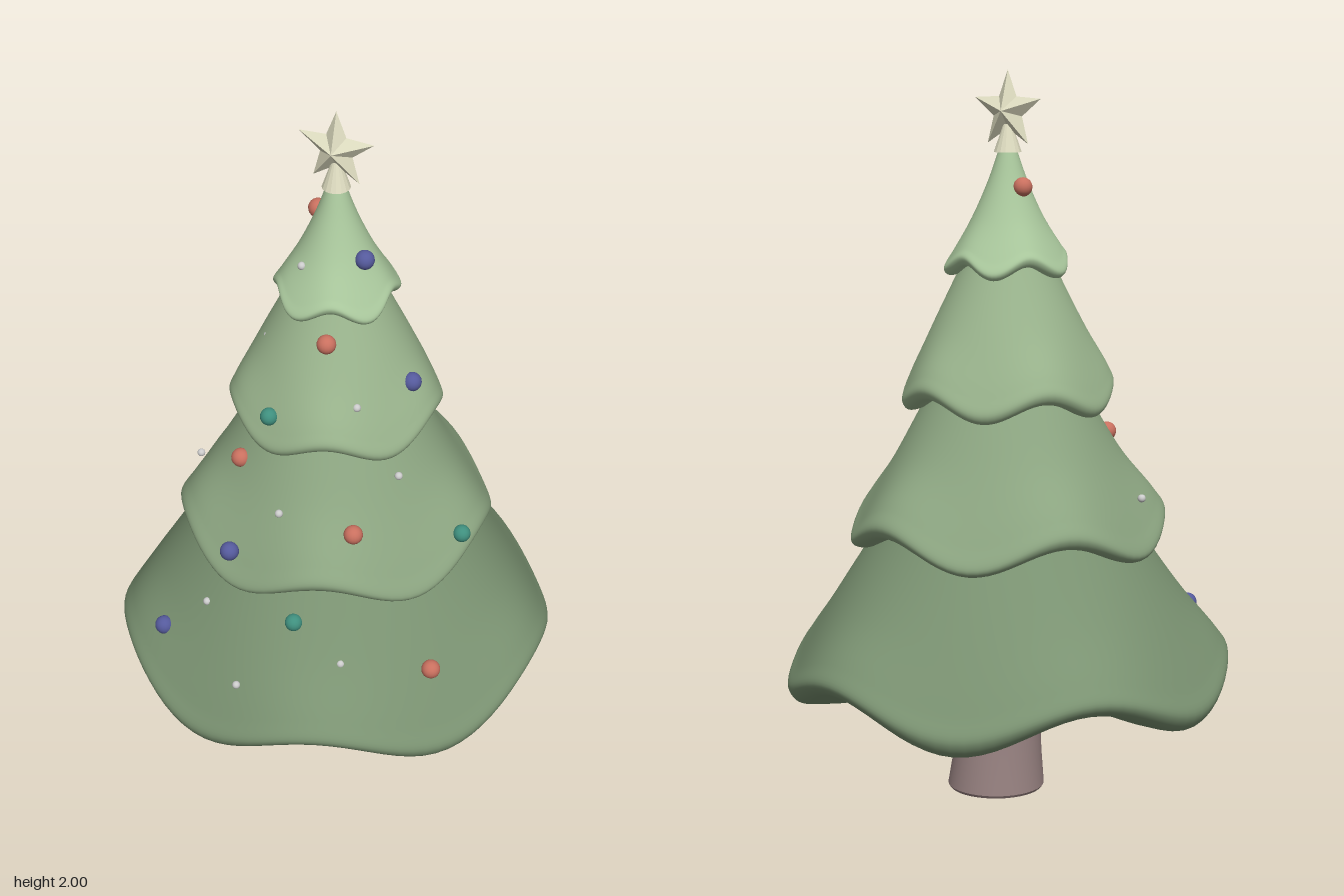
import * as THREE from 'three';

const material = (color, flat = false) => new THREE.MeshStandardMaterial({ color, flatShading: flat });

function addMesh(parent, name, geometry, mat) {
  const mesh = new THREE.Mesh(geometry, mat);
  mesh.name = name;
  parent.add(mesh);
  return mesh;
}

// Skirt of branches: profile points are [radius, height, wave height], top to underside;
// the hem rises and falls in five waves. "pinch" narrows the radius at the crests.
function skirtGeometry(profile, pinch) {
  const rings = 48, sides = 100;
  const curve = new THREE.CatmullRomCurve3(profile.map(p => new THREE.Vector3(...p)), false, 'centripetal');
  const positions = [], index = [];
  for (let k = 0; k <= rings; k++) {
    const p = curve.getPoint(k / rings);
    for (let j = 0; j < sides; j++) {
      const a = (j / sides) * Math.PI * 2;
      const wave = Math.cos(5 * a);
      const r = p.x - pinch * p.z * wave;
      positions.push(r * Math.cos(a), p.y + p.z * wave, r * Math.sin(a));
      if (k < rings) {
        const a0 = k * sides + j, b0 = k * sides + (j + 1) % sides;
        index.push(a0, b0, a0 + sides, b0, b0 + sides, a0 + sides);
      }
    }
  }
  const g = new THREE.BufferGeometry();
  g.setAttribute('position', new THREE.Float32BufferAttribute(positions, 3));
  g.setIndex(index);
  g.computeVertexNormals();
  return g;
}

// Faceted five-pointed star, raised to a ridge on both faces
function starGeometry(outer, inner, depth) {
  const pts = [], positions = [];
  for (let i = 0; i < 10; i++) {
    const a = Math.PI / 2 + i * Math.PI / 5, r = i % 2 ? inner : outer;
    pts.push([r * Math.cos(a), r * Math.sin(a), 0]);
  }
  pts.forEach((p, i) => {
    const q = pts[(i + 1) % 10];
    positions.push(0, 0, depth, ...p, ...q, 0, 0, -depth, ...q, ...p);
  });
  const g = new THREE.BufferGeometry();
  g.setAttribute('position', new THREE.Float32BufferAttribute(positions, 3));
  g.computeVertexNormals();
  return g;
}

// Flared trunk, leaning slightly towards the tree's axis
function trunkGeometry() {
  const profile = [[0, 0], [0.13, 0], [0.13, 0], [0.135, 0.008], [0.135, 0.008], [0.124, 0.1], [0.115, 0.2],
    [0.107, 0.3], [0.103, 0.42]];
  const g = new THREE.LatheGeometry(profile.map(p => new THREE.Vector2(...p)), 40);
  const pos = g.attributes.position;
  for (let i = 0; i < pos.count; i++) {
    const t = Math.min(pos.getY(i) / 0.3, 1);
    pos.setX(i, pos.getX(i) + 0.03 - 0.02 * t);
    pos.setZ(i, pos.getZ(i) - 0.015 - 0.005 * t);
  }
  g.computeVertexNormals();
  return g;
}

export function createModel() {
  const tree = new THREE.Group();
  tree.name = 'decoratedTree';

  addMesh(tree, 'trunk', trunkGeometry(), material(0x9a8483));

  // Four tiers of branches, top to bottom
  const tiers = [
    { name: 'topTier', color: 0xa9c79c, pinch: 0.35, profile: [[0.02, 1.8, 0], [0.055, 1.7, 0], [0.1, 1.6, 0.004],
      [0.15, 1.515, 0.015], [0.167, 1.485, 0.02], [0.155, 1.467, 0.018], [0.12, 1.47, 0.014], [0.07, 1.49, 0]] },
    { name: 'upperTier', color: 0x9ab48d, pinch: 0, profile: [[0.08, 1.58, 0], [0.13, 1.47, 0], [0.213, 1.3, 0.005],
      [0.275, 1.175, 0.023], [0.29, 1.13, 0.027], [0.275, 1.107, 0.026], [0.23, 1.11, 0.022], [0.16, 1.14, 0]] },
    { name: 'lowerTier', color: 0x8ca581, pinch: 0, profile: [[0.16, 1.22, 0], [0.23, 1.1, 0], [0.315, 0.95, 0.01],
      [0.405, 0.815, 0.035], [0.435, 0.76, 0.04], [0.42, 0.737, 0.036], [0.36, 0.735, 0.03], [0.26, 0.78, 0]] },
    { name: 'bottomTier', color: 0x7b9372, pinch: 0, profile: [[0.28, 0.86, 0], [0.37, 0.73, 0], [0.49, 0.55, 0.013],
      [0.585, 0.41, 0.04], [0.615, 0.355, 0.045], [0.59, 0.317, 0.05], [0.5, 0.305, 0.05], [0.3, 0.3, 0.03],
      [0.05, 0.3, 0]] },
  ];
  tiers.forEach(t => addMesh(tree, t.name, skirtGeometry(t.profile, t.pinch), material(t.color)));

  // Star and its holder
  const gold = material(0xdedcc0, true);
  const holder = addMesh(tree, 'starHolder', new THREE.CylinderGeometry(0.012, 0.038, 0.075, 16), gold);
  holder.position.y = 1.818;
  const star = addMesh(tree, 'star', starGeometry(0.109, 0.047, 0.036), gold);
  star.position.y = 1.891;

  // Baubles and small lights, by colour
  const ornaments = [
    { name: 'redBauble', color: 0xc9705f, radius: 0.026, at: [[-0.06, 1.69, -0.02], [0.04, 1.4, 0.16],
      [-0.188, 1.0, 0.22], [0.18, 0.915, 0.308], [0.412, 0.515, 0.31]] },
    { name: 'blueBauble', color: 0x555a9c, radius: 0.026, at: [[0.097, 1.605, 0.04], [0.235, 1.255, 0.04],
      [-0.148, 0.813, 0.39], [-0.35, 0.49, 0.408]] },
    { name: 'tealBauble', color: 0x3f8f7e, radius: 0.024, at: [[-0.087, 1.19, 0.25], [0.408, 0.825, 0.088],
      [0.053, 0.65, 0.42]] },
    { name: 'light', color: 0xe0e0dc, radius: 0.011, at: [[-0.057, 1.58, 0.095], [-0.155, 1.338, 0.1],
      [0.14, 1.245, 0.192], [0.243, 1.015, 0.145], [-0.028, 0.935, 0.327], [-0.38, 0.855, 0.077],
      [-0.222, 0.607, 0.39], [0.198, 0.565, 0.437], [-0.07, 0.473, 0.535]] },
  ];
  for (const o of ornaments) {
    const geometry = new THREE.SphereGeometry(o.radius, 20, 14), mat = material(o.color);
    o.at.forEach((p, i) => addMesh(tree, `${o.name}${i + 1}`, geometry, mat).position.set(...p));
  }

  return tree;
}
